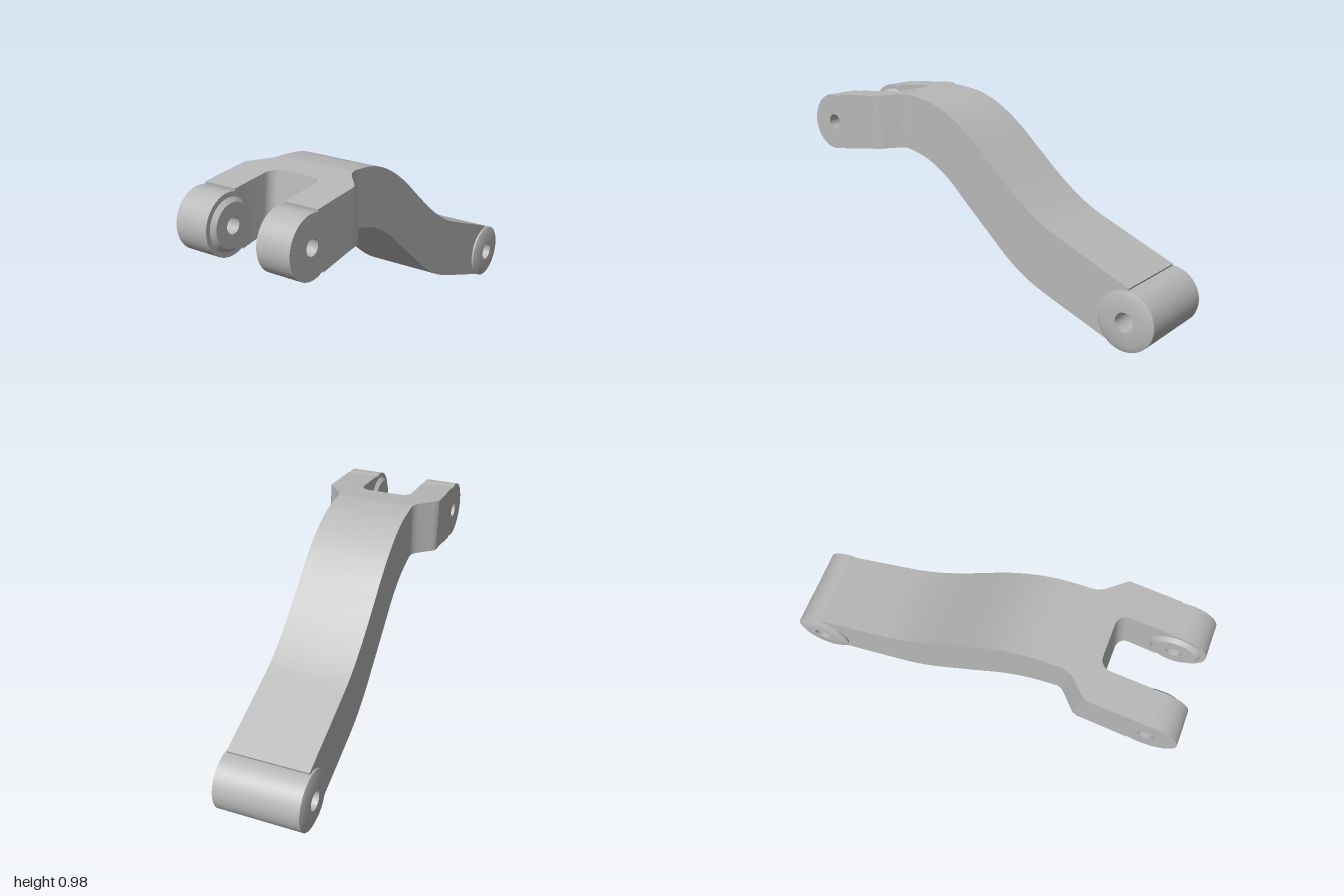
import * as THREE from 'three';
import { toCreasedNormals } from 'three/addons/utils/BufferGeometryUtils.js';

const steel = new THREE.MeshStandardMaterial({ color: 0xb8b8b8 });
steel.name = 'steel grey';

const spline = (pts) => new THREE.SplineCurve(pts.map(([z, y]) => new THREE.Vector2(z, y)));

function addMesh(parent, name, geometry) {
  const mesh = new THREE.Mesh(toCreasedNormals(geometry, 0.45), steel);
  mesh.name = name;
  parent.add(mesh);
  return mesh;
}

// Section rows [topZ, topY, bottomZ, bottomY, outerX, innerX], rear to front
function bodyRows() {
  const top = spline([[-0.86, 0.29], [-0.56, 0.412], [-0.4, 0.483], [-0.25, 0.585], [-0.1, 0.715],
    [0, 0.805], [0.1, 0.88], [0.2, 0.935], [0.3, 0.968], [0.42, 0.983]]);
  const bottom = spline([[-0.754, 0.031], [-0.42, 0.158], [-0.3, 0.215], [-0.2, 0.285], [-0.08, 0.39],
    [0.05, 0.505], [0.15, 0.595], [0.25, 0.66], [0.33, 0.693], [0.42, 0.715]]);
  const rows = [];
  for (let i = 0; i <= 36; i++) {
    const t = top.getPoint(i / 36), b = bottom.getPoint(i / 36);
    rows.push([t.x, t.y, b.x, b.y, 0.195, 0]);
  }
  // flare out to the fork
  rows.push(
    [0.445, 0.982, 0.437, 0.717, 0.201, 0],
    [0.47, 0.98, 0.455, 0.717, 0.215, 0],
    [0.535, 0.975, 0.51, 0.714, 0.273, 0],
    [0.55, 0.974, 0.525, 0.712, 0.286, 0],
    [0.562, 0.973, 0.545, 0.71, 0.293, 0]);
  // leaning slot wall with rounded corners, then straight prongs
  const slotT = 0.564, slotB = 0.6, r = 0.05, half = 0.13;
  rows.push([slotT, 0.973, slotB, 0.704, 0.293, 0]);
  for (let i = 0; i <= 6; i++) {
    const a = (i / 6) * Math.PI / 2;
    const dz = r * (1 - Math.cos(a));
    rows.push([slotT + dz, 0.973 - dz * 0.072, slotB + dz, 0.704 - dz * 0.137, 0.293, half - r + r * Math.sin(a)]);
  }
  rows.push([0.808, 0.955, 0.783, 0.678, 0.293, half]);
  return rows;
}

// Loft both mirrored halves from the rows
function bodyGeometry() {
  const sections = bodyRows().map(([tz, ty, bz, by, xo, xi]) =>
    [[xi, ty, tz], [xo, ty, tz], [xo, by, bz], [xi, by, bz]]);
  const pos = [];
  for (const side of [1, -1]) {
    const quad = (a, b, c, d) => {
      const tris = side > 0 ? [a, b, c, a, c, d] : [a, c, b, a, d, c];
      for (const [x, y, z] of tris) pos.push(side * x, y, z);
    };
    for (let k = 0; k < sections.length - 1; k++) {
      const s = sections[k], n = sections[k + 1];
      for (let j = 0; j < 4; j++) {
        const m = (j + 1) % 4;
        if (j === 3 && n[0][0] === 0) continue; // no wall on the centre plane
        quad(s[j], n[j], n[m], s[m]);
      }
    }
    const first = sections[0], last = sections[sections.length - 1];
    quad(...first);
    quad(last[3], last[2], last[1], last[0]);
  }
  const g = new THREE.BufferGeometry();
  g.setAttribute('position', new THREE.Float32BufferAttribute(pos, 3));
  return g;
}

// Bored round eye lying along the x axis
function eyeGeometry(profile, side, y, z) {
  const pts = profile.map(([r, x]) => new THREE.Vector2(r, x));
  const g = new THREE.LatheGeometry(pts, 64);
  g.rotateZ(-side * Math.PI / 2);
  g.translate(0, y, z);
  return g;
}

export function createModel() {
  const model = new THREE.Group();
  model.name = 'linkArm';
  const arm = new THREE.Group();
  arm.name = 'forkedArm';
  arm.rotation.y = 0.03;
  arm.position.x = -0.022;
  model.add(arm);

  addMesh(arm, 'curvedArmAndFork', bodyGeometry());

  // Fork eyes with a chamfered boss on the inner face
  const prong = [[0.037, 0.112], [0.1, 0.112], [0.118, 0.13], [0.14, 0.13],
    [0.14, 0.293], [0.037, 0.293], [0.037, 0.112]];
  addMesh(arm, 'leftForkEye', eyeGeometry(prong, 1, 0.811, 0.851));
  addMesh(arm, 'rightForkEye', eyeGeometry(prong, -1, 0.811, 0.851));

  // Rear barrel, chamfered at both ends
  const barrel = [[0.045, -0.215], [0.112, -0.215], [0.14, -0.204],
    [0.14, 0.204], [0.112, 0.215], [0.045, 0.215], [0.045, -0.215]];
  addMesh(arm, 'rearBarrel', eyeGeometry(barrel, 1, 0.14, -0.854));

  return model;
}
